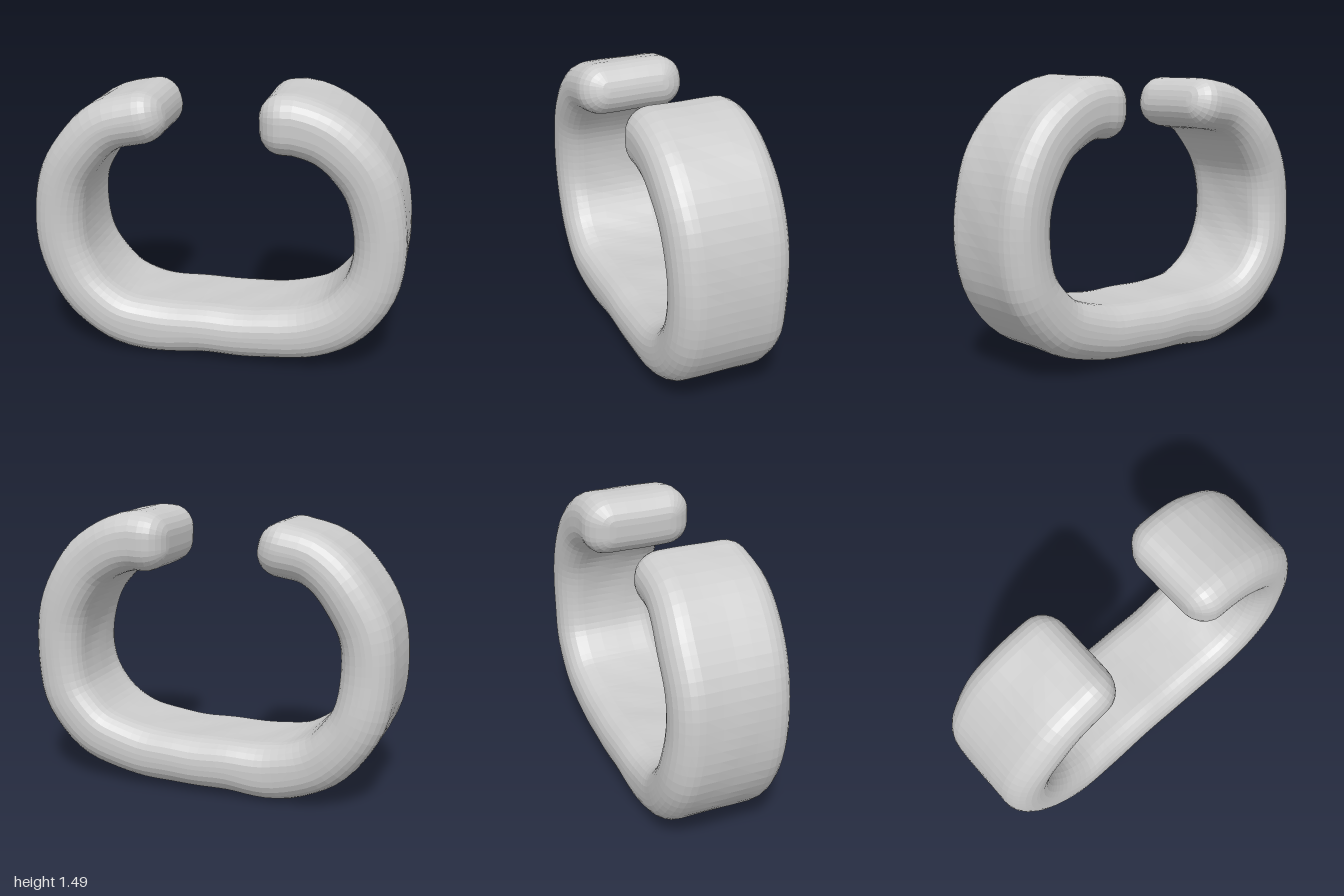
import * as THREE from 'three';

// Stations of the band: centre x, centre y, back z, front z, half thickness
const BAND = [
  [-0.39, 1.33, -0.275, 0.32, 0.138], [-0.56, 1.29, -0.28, 0.325, 0.135], [-0.72, 1.15, -0.3, 0.325, 0.135],
  [-0.835, 0.94, -0.3, 0.315, 0.137], [-0.86, 0.73, -0.305, 0.31, 0.138], [-0.82, 0.5, -0.325, 0.31, 0.14],
  [-0.7, 0.315, -0.325, 0.315, 0.143], [-0.55, 0.21, -0.31, 0.315, 0.147], [-0.37, 0.162, -0.3, 0.305, 0.152],
  [-0.13, 0.17, -0.305, 0.3, 0.142], [0.12, 0.172, -0.305, 0.3, 0.14], [0.38, 0.192, -0.3, 0.305, 0.143],
  [0.63, 0.268, -0.3, 0.315, 0.146], [0.8, 0.44, -0.3, 0.315, 0.142], [0.857, 0.63, -0.295, 0.31, 0.136],
  [0.858, 0.83, -0.295, 0.31, 0.136], [0.8, 1.04, -0.295, 0.315, 0.142], [0.69, 1.2, -0.29, 0.32, 0.148],
  [0.55, 1.3, -0.29, 0.32, 0.153], [0.42, 1.34, -0.285, 0.32, 0.158], [0.355, 1.338, -0.285, 0.32, 0.158],
];
const ROUND = 0.128, STEPS = 80, CAP = 6, CORNER = 6, FLAT = 4;

// Rounded rectangle in (normal, z), counter-clockwise around the path
function section(halfThick, halfWidth, r) {
  const pts = [];
  for (let c = 0; c < 4; c++) {
    const n = (c === 0 || c === 3 ? 1 : -1) * (halfThick - r);
    const z = (c < 2 ? 1 : -1) * (halfWidth - r);
    for (let k = 0; k <= CORNER; k++) {
      const a = (c + k / CORNER) * Math.PI / 2;
      pts.push([n + r * Math.cos(a), z + r * Math.sin(a)]);
    }
    // points across the broad faces
    if (c % 2) {
      const [edge] = pts[pts.length - 1];
      for (let k = 1; k < FLAT; k++) pts.push([edge, z * (1 - 2 * k / FLAT)]);
    }
  }
  return pts;
}

function bandGeometry() {
  const path = new THREE.CatmullRomCurve3(BAND.map(([x, y]) => new THREE.Vector3(x, y, 0)));
  const sizes = new THREE.CatmullRomCurve3(
    BAND.map(([, , back, front, half]) => new THREE.Vector3(back, front, half)), false, 'catmullrom');

  // Rounded start, body, rounded end
  const stations = [];
  for (let i = 0; i < CAP; i++) stations.push({ u: 0, a: -Math.PI / 2 * (1 - i / CAP) });
  for (let i = 0; i <= STEPS; i++) stations.push({ u: i / STEPS, a: 0 });
  for (let i = 1; i <= CAP; i++) stations.push({ u: 1, a: Math.PI / 2 * i / CAP });

  const positions = [], index = [];
  let count = 0;
  for (const { u, a } of stations) {
    const t = path.getUtoTmapping(u);
    const p = path.getPoint(t), tan = path.getTangent(t);
    const { x: back, y: front, z: half } = sizes.getPoint(t);
    const inset = ROUND * (1 - Math.cos(a)), push = ROUND * Math.sin(a);
    const ring = section(half - inset, (front - back) / 2 - 1.15 * inset, Math.max(ROUND - inset, 0.001));
    count = ring.length;
    for (const [n, z] of ring) {
      const w = z + (front + back) / 2;
      // gentle hand-modelled unevenness
      const m = n + 0.003 * Math.sin(19 * p.x + 8 * w) * Math.cos(14 * p.y - 11 * w);
      positions.push(p.x + tan.x * push - tan.y * m, p.y + tan.y * push + tan.x * m, w);
    }
  }

  // Side walls
  for (let i = 0; i < stations.length - 1; i++) {
    for (let j = 0; j < count; j++) {
      const a = i * count + j, b = i * count + (j + 1) % count;
      index.push(a, b, a + count, b, b + count, a + count);
    }
  }
  // Flat centres of both tips
  const last = (stations.length - 1) * count;
  for (let j = 1; j < count - 1; j++) {
    index.push(0, j + 1, j, last, last + j, last + j + 1);
  }

  const geometry = new THREE.BufferGeometry();
  geometry.setAttribute('position', new THREE.Float32BufferAttribute(positions, 3));
  geometry.setIndex(index);
  geometry.computeVertexNormals();
  return geometry;
}

export function createModel() {
  const group = new THREE.Group();
  group.name = 'openCuff';
  const material = new THREE.MeshStandardMaterial({ color: 0xcccccc, flatShading: true });
  const band = new THREE.Mesh(bandGeometry(), material);
  band.name = 'band';
  group.add(band);
  return group;
}
